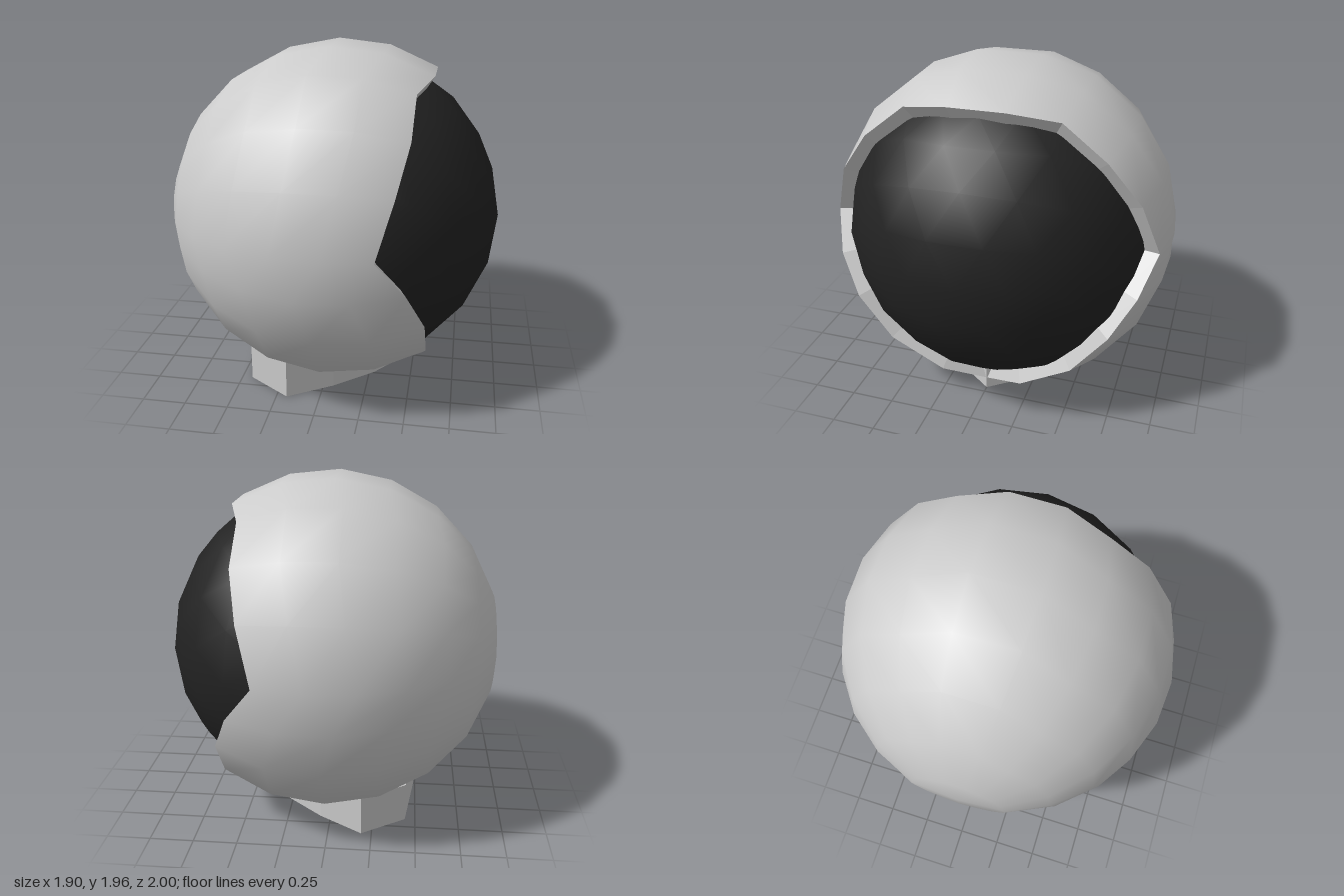
import * as THREE from 'three';

const CENTER = new THREE.Vector3(0.04, 0.98, 0);
const grey = new THREE.MeshStandardMaterial({ color: 0xcccccc });
const dark = new THREE.MeshStandardMaterial({ color: 0x222222 });

// Edge of the face opening as [y, z], from the brow down one side to the chin
const halfRim = [
  [1.81, 0.16], [1.76, 0.43], [1.57, 0.67], [1.33, 0.85], [1.03, 0.95],
  [0.82, 0.87], [0.60, 0.74], [0.35, 0.54], [0.16, 0.24], [0.07, 0],
];
const rim = [...halfRim, ...halfRim.slice(0, -1).reverse().map(([y, z]) => [y, -z])]
  .map(([y, z]) => {
    const dy = y - CENTER.y;
    return new THREE.Vector3(Math.sqrt(1 - dy * dy - z * z), dy, z); // on the unit sphere
  });

// Skin a list of closed rings
function loft(rings) {
  const n = rings[0].length, pos = [], index = [];
  rings.forEach(r => r.forEach(p => pos.push(p.x, p.y, p.z)));
  for (let i = 0; i < rings.length - 1; i++) {
    for (let j = 0; j < n; j++) {
      const k = (j + 1) % n;
      const a = i * n + j, b = a + n, c = (i + 1) * n + k, d = i * n + k;
      index.push(a, b, c, a, c, d);
    }
  }
  const g = new THREE.BufferGeometry();
  g.setAttribute('position', new THREE.Float32BufferAttribute(pos, 3));
  g.setIndex(index);
  return g;
}

// Sphere from the opening to the back pole, one column per rim point
function shellGeometry() {
  const rows = 7, rings = [], normals = [];
  for (let i = 0; i <= rows; i++) {
    rings.push(rim.map(p => {
      const start = Math.acos(p.x), azimuth = Math.atan2(p.z, p.y);
      const t = start + (Math.PI - start) * i / rows;
      const q = new THREE.Vector3(
        Math.cos(t), Math.sin(t) * Math.cos(azimuth), Math.sin(t) * Math.sin(azimuth));
      normals.push(q.x, q.y, q.z);
      if (i === rows) q.x = -0.98;
      q.add(CENTER);
      q.y = Math.max(q.y, 0.03); // keep the underside inside the foot
      return q;
    }));
  }
  const g = loft(rings);
  g.setAttribute('normal', new THREE.Float32BufferAttribute(normals, 3));
  return g;
}

// Thickness of the shell around the opening
function rimGeometry() {
  const ring = r => rim.map(p => p.clone().multiplyScalar(r).add(CENTER));
  const g = loft([ring(0.9), ring(1)]).toNonIndexed();
  g.computeVertexNormals();
  return g;
}

// Foot: flat-bottomed prism, wide at the back and pointed at the front
function footGeometry() {
  const side = [[0.28, 0.24], [0.06, 0.43], [-0.19, 0.59], [-0.44, 0.42]];
  const outline = [[0.46, 0], ...side, [-0.49, 0], ...side.map(([x, z]) => [x, -z]).reverse()];
  const shape = new THREE.Shape(outline.map(([x, z]) => new THREE.Vector2(x, z)));
  return new THREE.ExtrudeGeometry(shape, { depth: 0.23, bevelEnabled: false })
    .rotateX(-Math.PI / 2);
}

export function createModel() {
  const model = new THREE.Group();
  model.name = 'helmet';
  const add = (name, geometry, material) => {
    const mesh = new THREE.Mesh(geometry, material);
    mesh.name = name;
    model.add(mesh);
    return mesh;
  };
  add('shell', shellGeometry(), grey);
  add('openingRim', rimGeometry(), grey);
  add('visor', new THREE.IcosahedronGeometry(0.925, 3), dark).position.copy(CENTER);
  add('foot', footGeometry(), grey);
  return model;
}
